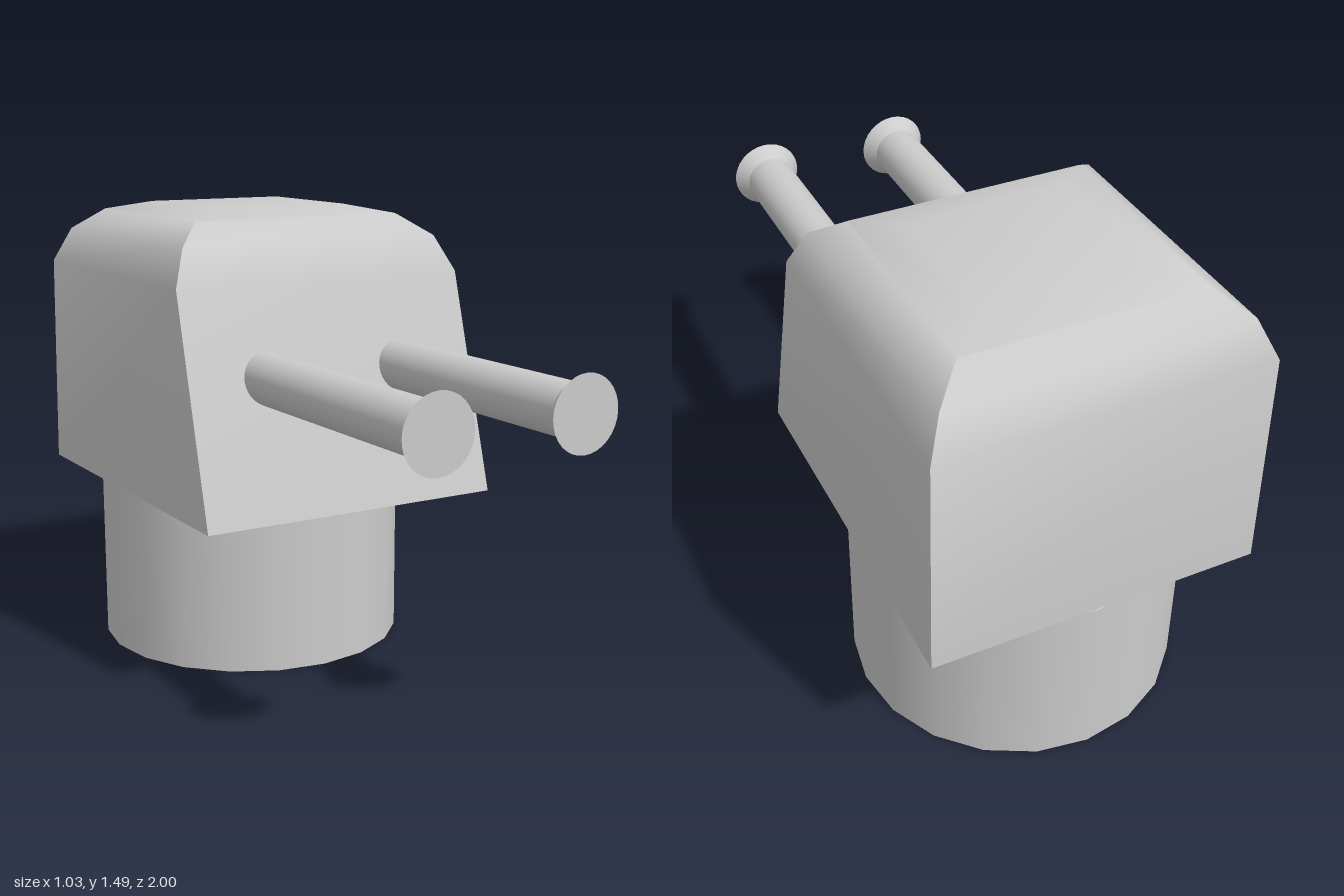
import * as THREE from 'three';
import { toCreasedNormals } from 'three/addons/utils/BufferGeometryUtils.js';

const material = new THREE.MeshStandardMaterial({ color: 0xcccccc });

function addMesh(parent, name, geometry) {
  const mesh = new THREE.Mesh(geometry, material);
  mesh.name = name;
  parent.add(mesh);
  return mesh;
}

// Housing: rectangular cross-sections stacked upwards, rounding over at the top
function housingGeometry() {
  // y, half width, front z, back z
  const levels = [
    [0.57, 0.517, 0.22, -0.995],
    [1.28, 0.51, 0.02, -0.985],
    [1.395, 0.46, -0.035, -0.93],
    [1.465, 0.37, -0.13, -0.835],
    [1.493, 0.245, -0.26, -0.715],
  ];
  const positions = [];
  const indices = [];
  for (const [y, w, front, back] of levels) {
    positions.push(-w, y, front, w, y, front, w, y, back, -w, y, back);
  }
  for (let level = 0; level < levels.length - 1; level++) {
    for (let i = 0; i < 4; i++) {
      const a = level * 4 + i;
      const b = level * 4 + ((i + 1) % 4);
      indices.push(a, b, b + 4, a, b + 4, a + 4);
    }
  }
  const top = (levels.length - 1) * 4;
  indices.push(top, top + 1, top + 2, top, top + 2, top + 3);
  indices.push(0, 2, 1, 0, 3, 2);

  const geometry = new THREE.BufferGeometry();
  geometry.setAttribute('position', new THREE.Float32BufferAttribute(positions, 3));
  geometry.setIndex(indices);
  return toCreasedNormals(geometry, 0.7);
}

// Cylinder lying along z between two depths
function tubeAlongZ(rBack, rFront, zBack, zFront) {
  return new THREE.CylinderGeometry(rFront, rBack, zFront - zBack, 32)
    .rotateX(Math.PI / 2)
    .translate(0, 0, (zBack + zFront) / 2);
}

export function createModel() {
  const model = new THREE.Group();
  model.name = 'gunTurret';

  // Round pedestal
  const base = addMesh(model, 'base', new THREE.CylinderGeometry(0.516, 0.516, 0.57, 20));
  base.position.set(0, 0.285, -0.484);

  addMesh(model, 'housing', housingGeometry());

  // Twin barrels with flared muzzles
  for (const side of [-1, 1]) {
    const gun = new THREE.Group();
    gun.name = side > 0 ? 'leftGun' : 'rightGun';
    gun.position.set(side * 0.244, 0.998, 0);
    addMesh(gun, 'barrel', tubeAlongZ(0.081, 0.081, 0, 0.955));
    addMesh(gun, 'muzzle', tubeAlongZ(0.081, 0.115, 0.955, 1));
    model.add(gun);
  }

  return model;
}
